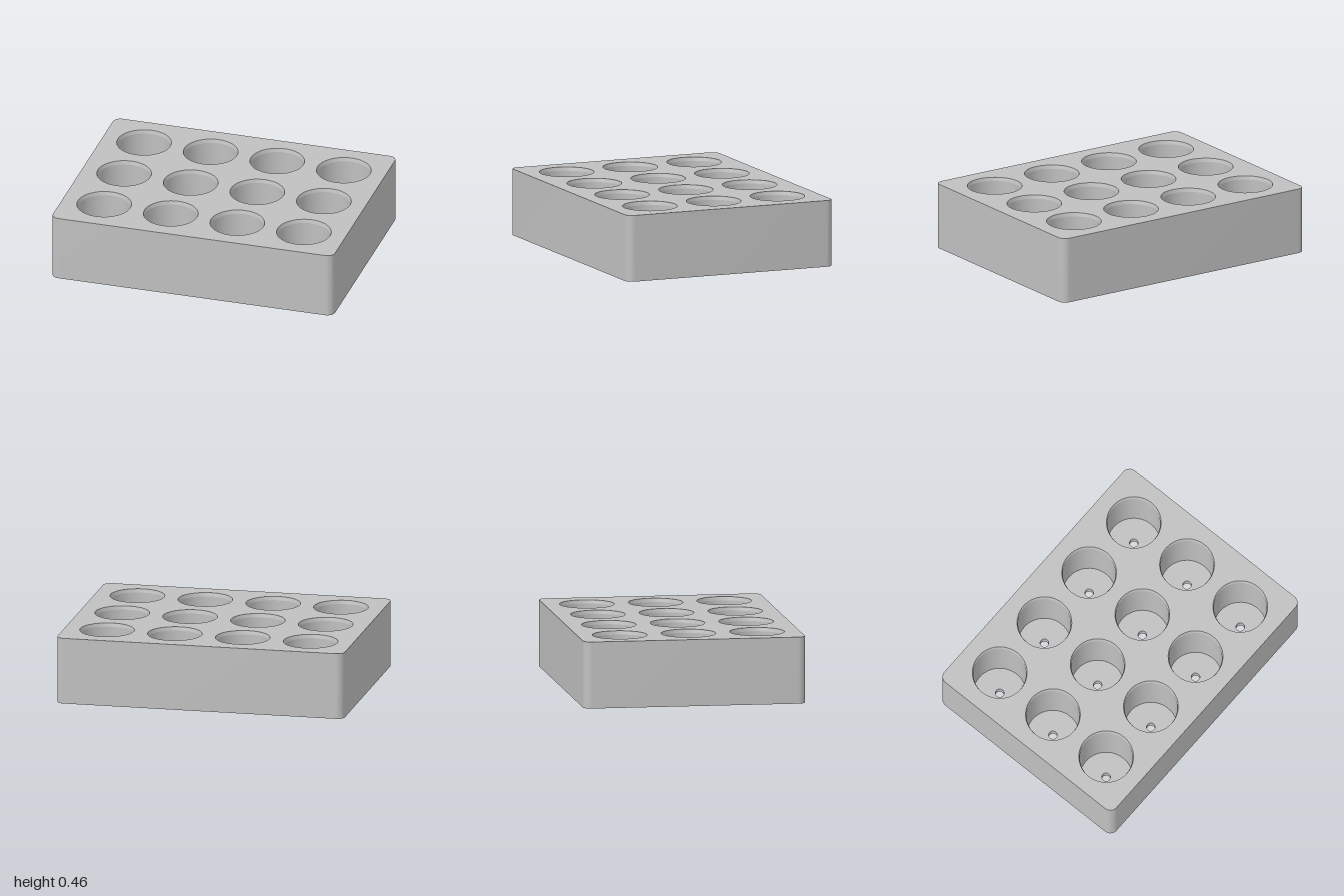
import * as THREE from 'three';
import { toCreasedNormals } from 'three/addons/utils/BufferGeometryUtils.js';

const W = 1, D = 0.763, H = 0.457;        // half width, half depth, height
const CORNER = 0.055, PITCH = 0.472;
const RIM_R = 0.186, WELL_R = 0.179, DRAIN_R = 0.029;
const CHAMFER = 0.025, FLOOR = 0.05, ARC = 24;

// Well centres: four columns by three rows
const centres = [];
for (let i = 0; i < 4; i++) {
  for (let j = 0; j < 3; j++) centres.push([(i - 1.5) * PITCH, (j - 1) * PITCH]);
}

// Rounded rectangle, with a round hole at each centre if a radius is given
function outline(holeRadius) {
  const s = new THREE.Shape();
  const x = W - CORNER, y = D - CORNER, q = Math.PI / 2;
  s.absarc(x, y, CORNER, 0, q);
  s.absarc(-x, y, CORNER, q, 2 * q);
  s.absarc(-x, -y, CORNER, 2 * q, 3 * q);
  s.absarc(x, -y, CORNER, 3 * q, 4 * q);
  s.closePath();
  if (holeRadius) {
    for (const [cx, cy] of centres) {
      s.holes.push(new THREE.Path().absarc(cx, cy, holeRadius, 0, Math.PI * 2, true));
    }
  }
  return s;
}

// Vertical band around the outline
function wallGeometry() {
  const pts = outline().getPoints(8);
  const pos = [];
  pts.forEach((p, i) => {
    const n = pts[(i + 1) % pts.length];
    if (p.distanceTo(n) < 1e-6) return;
    pos.push(p.x, p.y, 0, n.x, n.y, 0, n.x, n.y, H);
    pos.push(p.x, p.y, 0, n.x, n.y, H, p.x, p.y, H);
  });
  const g = new THREE.BufferGeometry();
  g.setAttribute('position', new THREE.Float32BufferAttribute(pos, 3));
  return toCreasedNormals(g.rotateX(-Math.PI / 2), 0.6);
}

export function createModel() {
  const group = new THREE.Group();
  group.name = 'wellBlock';
  const grey = new THREE.MeshStandardMaterial({ color: 0xc0c0c0 });
  grey.name = 'light grey';

  const add = (name, geometry) => {
    const mesh = new THREE.Mesh(geometry, grey);
    mesh.name = name;
    group.add(mesh);
    return mesh;
  };

  // Block shell
  add('outerWall', wallGeometry());
  add('topFace', new THREE.ShapeGeometry(outline(RIM_R), ARC).rotateX(-Math.PI / 2)).position.y = H;
  add('bottomFace', new THREE.ShapeGeometry(outline(DRAIN_R), ARC).rotateX(Math.PI / 2));

  // Chamfered wells, each with a flat floor and a drain hole
  const profile = [
    [RIM_R, H], [WELL_R, H - CHAMFER], [WELL_R, FLOOR], [DRAIN_R, FLOOR], [DRAIN_R, 0],
  ].map(([r, y]) => new THREE.Vector2(r, y));
  const well = toCreasedNormals(new THREE.LatheGeometry(profile, ARC * 2), 0.2);
  centres.forEach(([x, z], i) => add(`well${i + 1}`, well).position.set(x, 0, z));

  return group;
}
